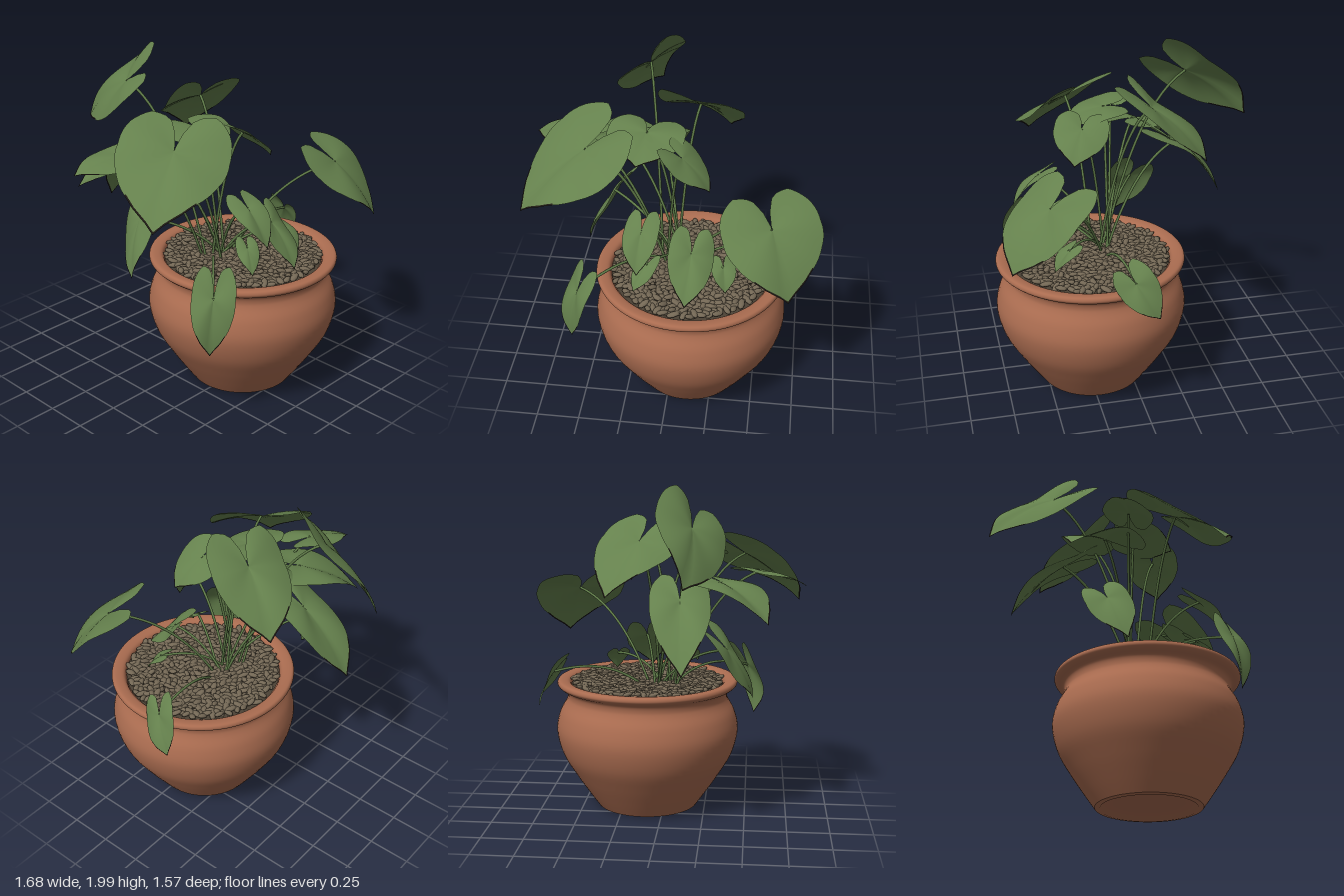
import * as THREE from 'three';
import { mergeGeometries } from 'three/addons/utils/BufferGeometryUtils.js';

const V = (a) => new THREE.Vector3(...a);
const POT = { x: 0.11, z: 0.22 };

function seeded(seed) {
  return () => {
    seed = (seed * 16807) % 2147483647;
    return seed / 2147483647;
  };
}

// Heart outline: [angle from the tip in degrees, radius relative to leaf length]
const HEART = [[0, 1], [8, 0.88], [28, 0.74], [55, 0.65], [90, 0.6], [120, 0.63], [145, 0.63], [163, 0.48], [177, 0.06]];

function heartRadius(deg) {
  for (let i = 1; i < HEART.length; i++) {
    const [a0, r0] = HEART[i - 1], [a1, r1] = HEART[i];
    if (deg <= a1) return r0 + ((r1 - r0) * (deg - a0)) / (a1 - a0);
  }
  return 0.06;
}

// Leaf blade: a fan around the stalk joint, arched along its length and rippled.
// Group 0 is the green blade, group 1 the withered margin round the tip.
function bladeGeometry(joint, tip, side, width, droop, phase) {
  const axis = tip.clone().sub(joint);
  const len = axis.length();
  axis.normalize();
  const across = side.clone().addScaledVector(axis, -side.dot(axis)).normalize();
  const normal = new THREE.Vector3().crossVectors(across, axis);
  if (normal.y < 0) normal.negate();
  const rings = 8, spokes = 56, pos = [], green = [], margin = [];
  for (let s = 0; s <= spokes; s++) {
    const deg = -177 + (354 * s) / spokes;
    const th = THREE.MathUtils.degToRad(deg), edge = heartRadius(Math.abs(deg));
    for (let k = 0; k <= rings; k++) {
      const r = edge * (k === rings ? 1 : (0.972 * k) / (rings - 1));
      const u = r * Math.sin(th), v = r * Math.cos(th);
      const arch = (v < 0 ? droop : 0.25) * v * (1 - v);
      const lift = arch + 0.18 * Math.abs(u) - 0.35 * u * u + 0.06 * r * Math.sin(3 * th + phase);
      const p = joint.clone().addScaledVector(across, (u * width) / 1.2)
        .addScaledVector(axis, v * len).addScaledVector(normal, lift * len);
      pos.push(p.x, p.y, p.z);
      if (s < spokes && k < rings) {
        const a = s * (rings + 1) + k, b = a + rings + 1;
        const list = k === rings - 1 && Math.abs(deg + 3) < 32 ? margin : green;
        list.push(a, b, b + 1, a, b + 1, a + 1);
      }
    }
  }
  const g = new THREE.BufferGeometry();
  g.setAttribute('position', new THREE.Float32BufferAttribute(pos, 3));
  g.setIndex(green.concat(margin));
  g.addGroup(0, green.length, 0);
  g.addGroup(green.length, margin.length, 1);
  g.computeVertexNormals();
  return g;
}

export function createModel() {
  const terracotta = new THREE.MeshStandardMaterial({ color: 0xaa6c50, side: THREE.DoubleSide });
  const leafGreen = new THREE.MeshStandardMaterial({ color: 0x65814d, side: THREE.DoubleSide });
  const witheredEdge = new THREE.MeshStandardMaterial({ color: 0x1c1812, side: THREE.DoubleSide });
  const stemGreen = new THREE.MeshStandardMaterial({ color: 0x5f7b48 });
  const pebbleBrown = new THREE.MeshStandardMaterial({ color: 0x746855 });
  const soilBrown = new THREE.MeshStandardMaterial({ color: 0x4c4235 });
  terracotta.name = 'terracotta';
  leafGreen.name = 'leafGreen';
  witheredEdge.name = 'witheredEdge';
  stemGreen.name = 'stemGreen';
  pebbleBrown.name = 'pebbleBrown';
  soilBrown.name = 'soilBrown';

  const model = new THREE.Group();
  model.name = 'pottedPlant';
  const add = (parent, name, geometry, material) => {
    const mesh = new THREE.Mesh(geometry, material);
    mesh.name = name;
    parent.add(mesh);
    return mesh;
  };
  const rand = seeded(71);

  // Pot: recessed foot, round belly, narrow neck and rolled lip
  const pot = new THREE.Group();
  pot.name = 'pot';
  pot.position.set(POT.x, 0, POT.z);
  model.add(pot);
  const curve = (pts, n) => new THREE.SplineCurve(pts.map((p) => new THREE.Vector2(...p))).getPoints(n);
  const belly = curve([[0.31, 0.005], [0.37, 0.09], [0.45, 0.21], [0.525, 0.34], [0.56, 0.48], [0.54, 0.59],
    [0.5, 0.665], [0.49, 0.7], [0.5, 0.735], [0.535, 0.755], [0.553, 0.775], [0.545, 0.797], [0.515, 0.8],
    [0.48, 0.79], [0.465, 0.76], [0.455, 0.7]], 70);
  add(pot, 'potBody', new THREE.LatheGeometry(belly, 72), terracotta);
  const foot = [[0, 0.035], [0.25, 0.03], [0.28, 0.0], [0.31, 0.005]].map((p) => new THREE.Vector2(...p));
  add(pot, 'potFoot', new THREE.LatheGeometry(foot, 72), terracotta);

  // Soil covered with pebbles
  const soil = add(pot, 'soil', new THREE.CircleGeometry(0.465, 48), soilBrown);
  soil.rotation.x = -Math.PI / 2;
  soil.position.y = 0.77;
  const pebbles = [];
  const count = 620;
  for (let i = 0; i < count; i++) {
    const r = 0.45 * Math.sqrt((i + 0.5) / count), a = i * 2.39996;
    const size = 0.85 + 0.4 * rand();
    const g = new THREE.SphereGeometry(1, 8, 5);
    g.scale(0.033 * size, 0.013, 0.017 * size);
    g.rotateZ((rand() - 0.5) * 0.8);
    g.rotateY(rand() * Math.PI);
    g.translate(r * Math.cos(a), 0.778 + 0.016 * rand(), r * Math.sin(a));
    pebbles.push(g);
  }
  add(pot, 'pebbles', mergeGeometries(pebbles), pebbleBrown);

  // Leaves, each with an arching stem rising from the crown
  const leaf = (name, joint, tip, side, width, droop = 0.25) => {
    const group = new THREE.Group();
    group.name = name;
    model.add(group);
    const end = V(joint);
    add(group, 'blade', bladeGeometry(end, V(tip), V(side), width, droop, rand() * 6), [leafGreen, witheredEdge]);
    const base = new THREE.Vector3(0.02 + (rand() - 0.5) * 0.14 + end.x * 0.12, 0.77, 0.12 + (rand() - 0.5) * 0.1 + end.z * 0.1);
    const bend = base.clone().lerp(end, 0.4);
    bend.y = Math.max(0.95, 0.77 + (end.y - 0.77) * 0.85);
    const path = new THREE.QuadraticBezierCurve3(base, bend, end);
    add(group, 'stem', new THREE.TubeGeometry(path, 18, 0.008, 6), stemGreen);
  };

  // Tall leaves
  leaf('topBackLeaf', [-0.2, 1.77, -0.42], [-0.16, 1.47, -0.78], [0.33, 0.27, -0.13], 0.46, 0.1);
  leaf('backLeaf', [0.12, 1.67, -0.14], [0.28, 1.38, -0.42], [0.42, 0, 0.13], 0.46, 0.08);
  leaf('bigSideLeaf', [-0.48, 1.57, 0.25], [-0.81, 1.25, 0.43], [0.2, -0.14, 0.47], 0.6, 0.12);
  leaf('backSideLeaf', [-0.36, 1.44, -0.14], [-0.63, 1.26, -0.39], [0.7, 0.1, -0.7], 0.42);
  leaf('outerSideLeaf', [-0.57, 1.5, -0.05], [-0.83, 1.41, -0.15], [0.1, 0.05, -0.3], 0.28);
  leaf('lowBackLeaf', [-0.13, 1.36, -0.34], [-0.16, 1.0, -0.65], [1, 0.1, 0], 0.34);
  leaf('centerLeaf', [-0.16, 1.6, 0.08], [-0.19, 1.5, 0.3], [1, 0, 0.05], 0.44);
  leaf('centerFrontLeaf', [0.06, 1.55, 0.25], [0.21, 1.38, 0.32], [-0.12, 0, 0.5], 0.31);
  // Low leaves around the rim
  leaf('bigFrontLeaf', [0.57, 1.31, 0.52], [0.68, 1.0, 0.74], [0.47, -0.04, -0.17], 0.55);
  leaf('frontLeaf', [0.13, 1.03, 0.42], [0.11, 0.8, 0.61], [1, 0, -0.3], 0.26, 0.12);
  leaf('smallFrontLeaf', [-0.14, 1.21, 0.48], [-0.15, 1.03, 0.64], [1, 0, 0.2], 0.2);
  leaf('hangingLeaf', [-0.5, 0.82, 0.56], [-0.55, 0.5, 0.58], [0.55, 0, 0.75], 0.24);
  leaf('rimLeaf', [0.66, 0.86, 0.07], [0.73, 0.67, -0.05], [-0.1, 0.2, 1], 0.22);
  leaf('hiddenSideLeaf', [-0.39, 1.05, -0.13], [-0.52, 0.74, -0.04], [0.2, 0, -1], 0.26);
  leaf('sproutLeaf', [0.31, 0.92, 0.38], [0.33, 0.81, 0.47], [1, 0, -0.3], 0.14);
  leaf('innerSproutLeaf', [-0.12, 0.96, 0.46], [-0.18, 0.84, 0.55], [1, 0, 0.5], 0.13);

  return model;
}
